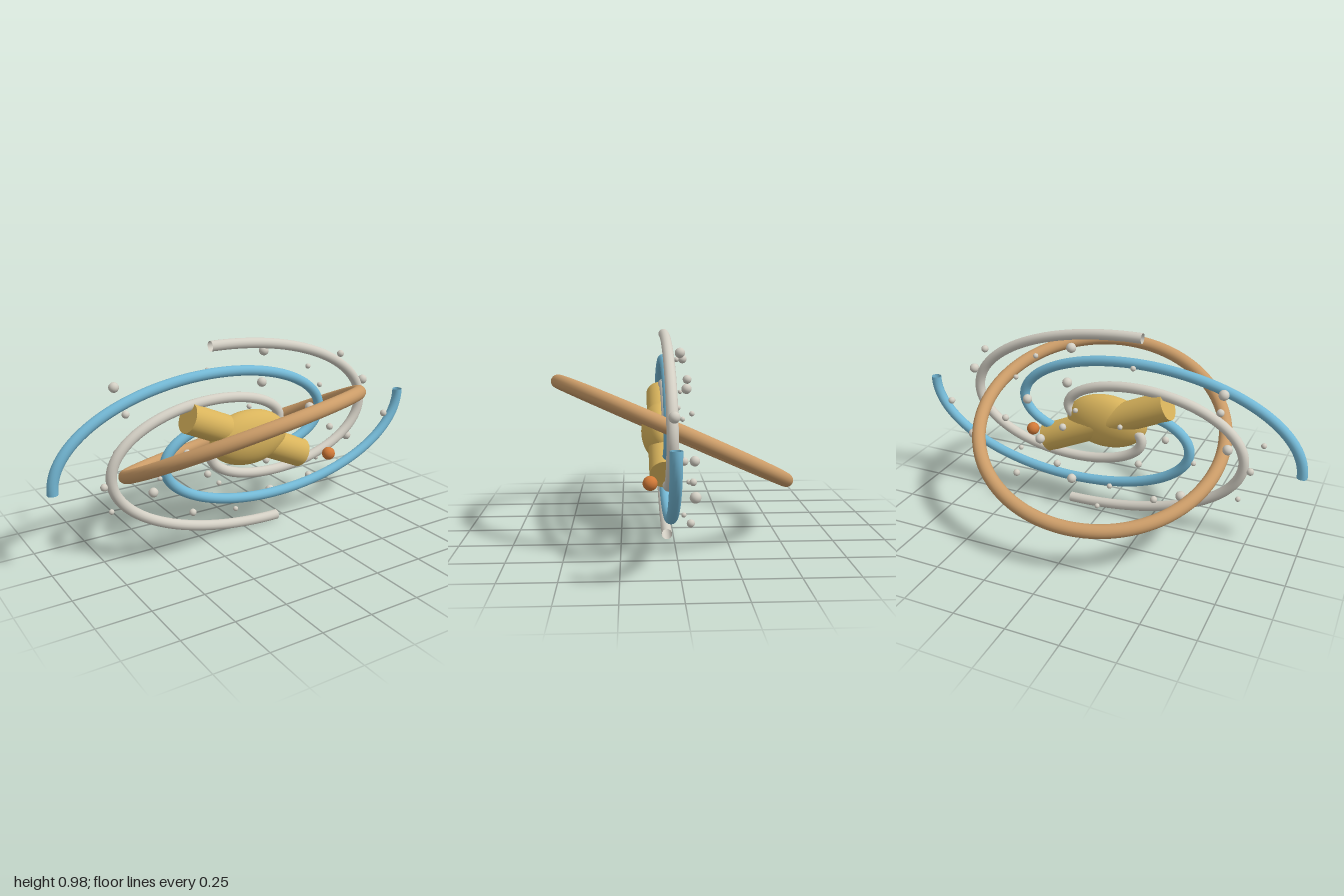
import * as THREE from 'three';

const material = (name, color, side = THREE.FrontSide) => {
  const m = new THREE.MeshStandardMaterial({ color, side });
  m.name = name;
  return m;
};

// Flattened Archimedean spiral, wound inward from its outer end
class SpiralArm extends THREE.Curve {
  constructor(endAngle) {
    super();
    this.endAngle = endAngle;
  }
  getPoint(t, target = new THREE.Vector3()) {
    const travel = t * Math.PI * 1.5;
    const r = 0.995 - 0.176 * travel;
    const a = this.endAngle - travel;
    return target.set(r * Math.cos(a), 0.5 + 0.476 * r * Math.sin(a), 0.033);
  }
}

export function createModel() {
  const model = new THREE.Group();
  model.name = 'spiralGalaxy';
  const gold = material('gold', 0xd9b45c);
  const tan = material('tan', 0xcb9c68);
  const blue = material('blue', 0x74b9d6, THREE.DoubleSide);
  const ivory = material('ivory', 0xd3cfc4, THREE.DoubleSide);
  const orange = material('orange', 0xd27a38);

  const add = (name, geometry, mat, x = 0, y = 0, z = 0) => {
    const mesh = new THREE.Mesh(geometry, mat);
    mesh.name = name;
    mesh.position.set(x, y, z);
    model.add(mesh);
    return mesh;
  };

  // Central bulge and the bar running through it
  add('bulge', new THREE.SphereGeometry(1, 40, 28), gold, 0, 0.5, 0.06).scale.set(0.212, 0.136, 0.09);
  const bar = add('bar', new THREE.CylinderGeometry(0.073, 0.073, 0.705, 32), gold, 0, 0.5, 0.045);
  bar.rotation.z = Math.PI / 2 - THREE.MathUtils.degToRad(24.5);

  // Four open-ended arms, a quarter turn apart
  for (let i = 0; i < 4; i++) {
    const angle = THREE.MathUtils.degToRad(191 - 90 * i);
    add(i % 2 ? 'ivoryArm' : 'blueArm',
      new THREE.TubeGeometry(new SpiralArm(angle), 140, 0.025, 16), i % 2 ? ivory : blue);
  }

  // Tilted ring around the disc
  const ring = add('tiltedRing', new THREE.TorusGeometry(0.602, 0.033, 20, 120), tan, 0, 0.5, 0);
  ring.quaternion.setFromUnitVectors(new THREE.Vector3(0, 0, 1),
    new THREE.Vector3(-0.165, 1, -0.449).normalize());

  // Single bright star in front of the bar's end
  add('brightStar', new THREE.SphereGeometry(0.033, 24, 16), orange, 0.45, 0.345, 0.118);

  // Scattered small stars: x, y, z per star, grouped by radius
  const stars = [
    [0.024, [[0.145, 0.892, -0.03], [-0.62, 0.805, -0.09], [0.155, 0.725, -0.06], [0.73, 0.677, 0.027],
      [-0.64, 0.512, -0.03], [0.297, 0.41, -0.09], [0.71, 0.345, -0.06], [-0.445, 0.255, -0.09],
      [0.41, 0.57, 0], [0.17, 0.165, 0]]],
    [0.018, [[0.623, 0.817, -0.03], [-0.595, 0.69, -0.03], [0.89, 0.465, 0.03], [0.545, 0.44, 0],
      [-0.74, 0.39, 0.03], [-0.32, 0.47, 0.03], [-0.195, 0.328, 0], [-0.28, 0.146, 0],
      [0.46, 0.165, -0.06], [0.205, 0.29, -0.09], [0.17, 0.498, -0.09]]],
    [0.013, [[0.37, 0.797, 0.03], [-0.17, 0.837, -0.03], [-0.815, 0.597, -0.09], [0.47, 0.68, 0],
      [-0.465, 0.375, 0.03], [0.46, 0.285, 0], [-0.70, 0.25, 0], [0, 0.075, -0.06],
      [-0.08, 0.225, -0.09], [-0.12, 0.54, -0.06], [0.10, 0.6, -0.09]]],
  ];
  for (const [radius, places] of stars) {
    const geometry = new THREE.SphereGeometry(radius, 16, 12);
    for (const place of places) add('smallStar', geometry, ivory, ...place);
  }
  return model;
}
